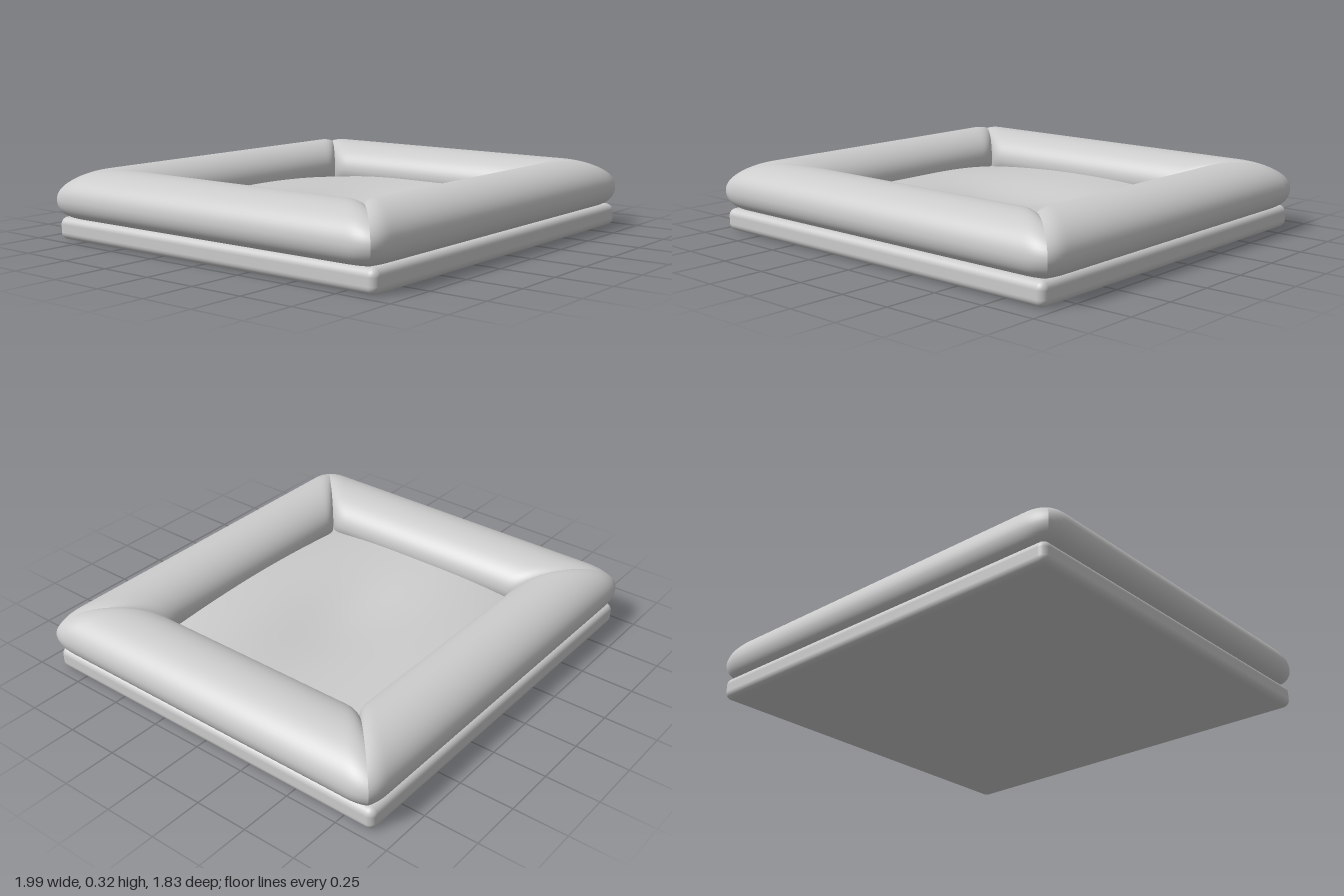
import * as THREE from 'three';
import { RoundedBoxGeometry } from 'three/addons/geometries/RoundedBoxGeometry.js';

const material = new THREE.MeshStandardMaterial({ color: 0xcccccc });
const lerp = THREE.MathUtils.lerp;

// Half extents of the bolster ring: [inner, outer] across x and z,
// along the straight runs and, slightly pinched, at the mitred corners.
const RUN = { x: [0.61, 0.997], z: [0.55, 0.915] };
const SEAM = { x: [0.64, 0.975], z: [0.585, 0.892] };
const MID_Y = 0.185, RUN_RISE = 0.135, SEAM_RISE = 0.12, DROP = 0.093;

// A padded tube running along x, facing +z, cut by a mitre at both ends
function bolsterGeometry(across, along) {
  const ROUND = 56, LENGTH = 64;
  const positions = [], index = [];
  for (let i = 0; i <= LENGTH; i++) {
    // samples bunch up towards the ends
    const u = Math.sin((i / LENGTH - 0.5) * Math.PI);
    for (let j = 0; j < ROUND; j++) {
      const a = (j / ROUND) * Math.PI * 2;
      const c = Math.cos(a), rise = Math.sin(a);
      // elliptical above, squashed flat against the base below
      const width = rise < 0 ? Math.sign(c) * Math.pow(Math.abs(c), 0.45) : c;
      const t = (width + 1) / 2;
      const end = lerp(...SEAM[along], t);
      const s = u * end;
      const pinch = Math.pow(Math.max(0, 1 - (end - Math.abs(s)) / 0.1), 2.5);
      const height = rise < 0 ? DROP : lerp(RUN_RISE, SEAM_RISE, pinch);
      positions.push(
        s,
        MID_Y + rise * height,
        lerp(lerp(...RUN[across], t), lerp(...SEAM[across], t), pinch)
      );
      if (i < LENGTH) {
        const k = (j + 1) % ROUND;
        const p = i * ROUND + j, q = p + ROUND;
        const r = i * ROUND + k, v = r + ROUND;
        index.push(p, q, r, q, v, r);
      }
    }
  }
  const geometry = new THREE.BufferGeometry();
  geometry.setAttribute('position', new THREE.Float32BufferAttribute(positions, 3));
  geometry.setIndex(index);
  geometry.computeVertexNormals();
  return geometry;
}

// Soft sleeping surface: lower towards the corners, with a wide hollow in the middle
function cushionGeometry() {
  const geometry = new THREE.PlaneGeometry(1.5, 1.4, 40, 40);
  geometry.rotateX(-Math.PI / 2);
  const p = geometry.attributes.position;
  for (let i = 0; i < p.count; i++) {
    const x = p.getX(i), z = p.getZ(i);
    const corner = Math.pow((x / 0.62) * (z / 0.56), 2);
    const hollow = Math.exp(-Math.pow(x / 0.45, 2) - Math.pow(z / 0.26, 2));
    p.setY(i, 0.178 - 0.036 * Math.min(corner, 1.5) - 0.05 * hollow);
  }
  geometry.computeVertexNormals();
  return geometry;
}

export function createModel() {
  const group = new THREE.Group();
  group.name = 'petBed';
  const add = (name, geometry) => {
    const mesh = new THREE.Mesh(geometry, material);
    mesh.name = name;
    group.add(mesh);
    return mesh;
  };

  // Flat padded base
  add('base', new RoundedBoxGeometry(1.925, 0.104, 1.805, 6, 0.034)).position.y = 0.052;

  add('cushion', cushionGeometry());

  // Four bolsters, turned a quarter each, meeting at the mitred seams
  const endBolster = bolsterGeometry('z', 'x');
  const sideBolster = bolsterGeometry('x', 'z');
  ['frontBolster', 'leftBolster', 'backBolster', 'rightBolster'].forEach((name, k) => {
    add(name, k % 2 ? sideBolster : endBolster).rotation.y = (k * Math.PI) / 2;
  });

  return group;
}
